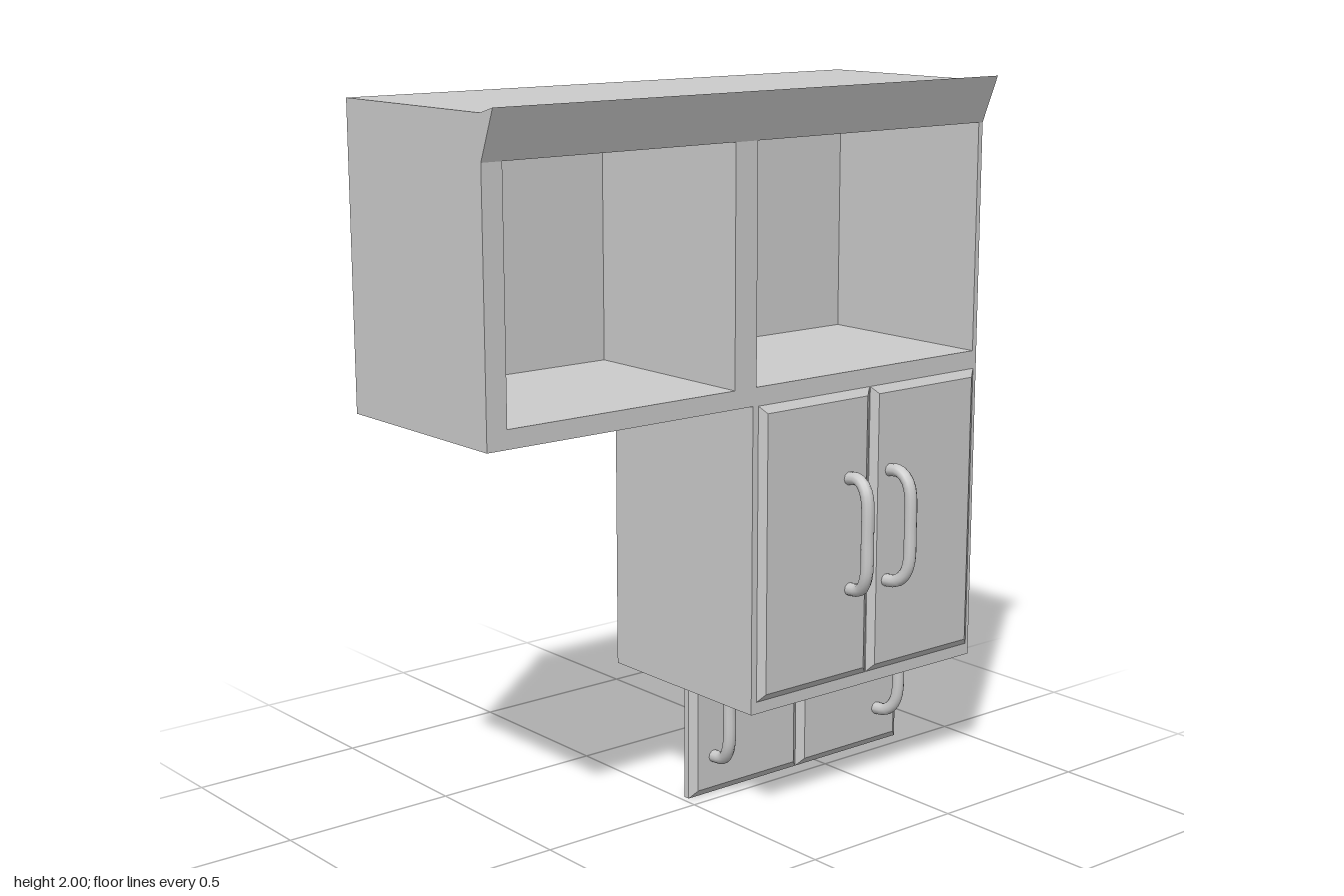
import * as THREE from 'three';

const mat = new THREE.MeshStandardMaterial({ color: 0xcccccc, flatShading: true, side: THREE.DoubleSide });
const smoothMat = new THREE.MeshStandardMaterial({ color: 0xcccccc });

const BACK = -0.345, FRONT = 0.24, TOP = 1.985;
const LEFT = -0.84, RIGHT = 0.837;
const niches = [[-0.78, -0.062], [0.012, 0.822]];

function add(parent, name, geometry, material = mat) {
  const mesh = new THREE.Mesh(geometry, material);
  mesh.name = name;
  parent.add(mesh);
  return mesh;
}

// L-shaped cabinet outline; hollow = tall part open at the bottom
function outline(hollow, withNiches) {
  const pts = [[LEFT, TOP], [LEFT, 1.18], [0, 1.18], [0, 0.33]];
  if (hollow) pts.push([0.012, 0.33], [0.012, 1.18], [0.825, 1.18], [0.825, 0.33]);
  pts.push([RIGHT, 0.33], [RIGHT, TOP]);
  const shape = new THREE.Shape(pts.map(([x, y]) => new THREE.Vector2(x, y)));
  if (withNiches) {
    for (const [a, b] of niches) {
      shape.holes.push(new THREE.Path([[a, 1.23], [b, 1.23], [b, 1.87], [a, 1.87]]
        .map(([x, y]) => new THREE.Vector2(x, y))));
    }
  }
  return shape;
}

function slab(shape, z0, z1) {
  return new THREE.ExtrudeGeometry(shape, { depth: z1 - z0, bevelEnabled: false }).translate(0, 0, z0);
}

// Door panel whose front edges are chamfered; its front lies at z = 0
function doorGeometry(w, h) {
  const thick = 0.034, bevel = 0.016;
  const g = new THREE.BoxGeometry(w, h, thick, 1, 1, 2).translate(0, 0, -thick / 2);
  const p = g.attributes.position;
  for (let i = 0; i < p.count; i++) {
    const z = p.getZ(i);
    if (z > -0.001) {
      p.setX(i, p.getX(i) - Math.sign(p.getX(i)) * 0.022);
      p.setY(i, p.getY(i) - Math.sign(p.getY(i)) * 0.022);
    } else if (z > -thick + 0.001) p.setZ(i, -bevel);
  }
  g.computeVertexNormals();
  return g;
}

// Bowed pull handle, relative to the door front
function handleGeometry(side) {
  const path = new THREE.CatmullRomCurve3([
    [0, 0.155, -0.02], [0, 0.16, 0.04], [0.003, 0.128, 0.072], [0.004, 0, 0.08],
    [0.002, -0.11, 0.074], [-0.005, -0.148, 0.045], [-0.008, -0.158, -0.02],
  ].map(([x, y, z]) => new THREE.Vector3(-x * side, y, z)));
  return new THREE.TubeGeometry(path, 28, 0.018, 10);
}

// Pair of doors with handles
function doorPair(name, bottom, top, z, handleXs, handleY) {
  const pair = new THREE.Group();
  pair.name = name;
  const w = 0.405;
  [0.0175 + w / 2, 0.4225 + w / 2].forEach((x, i) => {
    add(pair, i ? 'leftDoor' : 'rightDoor', doorGeometry(w, top - bottom))
      .position.set(x, (top + bottom) / 2, z);
    add(pair, i ? 'leftHandle' : 'rightHandle', handleGeometry(i ? -1 : 1), smoothMat)
      .position.set(handleXs[i], handleY, z);
  });
  return pair;
}

export function createModel() {
  const group = new THREE.Group();
  group.name = 'cabinet';

  // Carcass: walls and shelves, back board, face frame
  add(group, 'carcass', slab(outline(true, true), BACK + 0.03, FRONT - 0.015));
  add(group, 'backBoard', slab(outline(false, false), BACK, BACK + 0.03));
  add(group, 'faceFrame', slab(outline(false, true), FRONT - 0.015, FRONT));

  // Flared crown moulding along the top front edge
  const crown = new THREE.Shape([[FRONT, 1.87], [0.292, 2.0], [FRONT, TOP]]
    .map(([z, y]) => new THREE.Vector2(-z, y)));
  add(group, 'crownMoulding', new THREE.ExtrudeGeometry(crown, { depth: RIGHT - LEFT, bevelEnabled: false })
    .rotateY(Math.PI / 2).translate(LEFT, 0, 0));

  // Main doors, and the recessed pair hanging below the carcass
  group.add(doorPair('mainDoors', 0.362, 1.18, 0.255, [0.335, 0.49], 0.78));
  group.add(doorPair('lowerDoors', 0, 0.56, -0.03, [0.09, 0.74], 0.27));
  return group;
}
